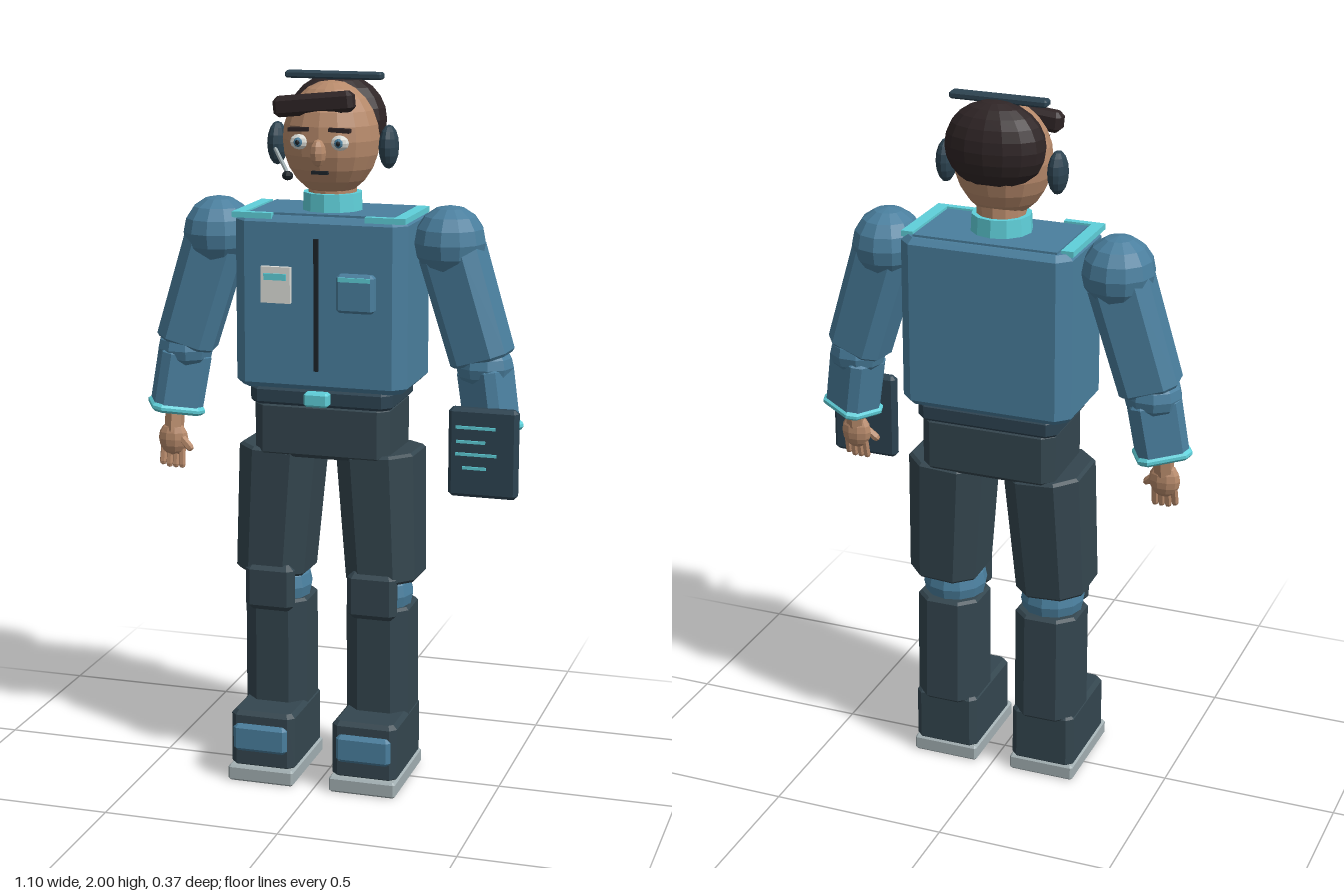
import * as THREE from 'three';

const mat = (name, color) => Object.assign(new THREE.MeshStandardMaterial({ color }), { name });
const V = (x, y, z) => new THREE.Vector3(x, y, z);

export function createModel() {
  const blue = mat('shirt blue', 0x4a7f9e), slate = mat('trouser slate', 0x34464f);
  const navy = mat('headset navy', 0x2d4452), cyan = mat('trim cyan', 0x5fd0da);
  const skin = mat('skin', 0xb78a6b), hairM = mat('hair', 0x2f2526);
  const grey = mat('sole grey', 0xa3b0b3), white = mat('white', 0xdedfda);
  const dark = mat('dark', 0x1c2329);

  const root = new THREE.Group();
  root.name = 'uniformedFigure';
  const body = new THREE.Group();
  body.name = 'body';
  body.position.x = -0.006;
  root.add(body);

  // Faceted mesh: every face gets its own normal
  function add(name, geo, m, pos) {
    const g = geo.index ? geo.toNonIndexed() : geo;
    g.computeVertexNormals();
    const mesh = new THREE.Mesh(g, m);
    mesh.name = name;
    if (pos) mesh.position.copy(pos);
    body.add(mesh);
    return mesh;
  }
  // Upright prism with corners cut by c, ends bevelled by b and a narrower lower end
  function bevelBox(w, h, d, c, b, taper = 1) {
    const x = w / 2, z = d / 2;
    const outline = [[x, c - z], [x, z - c], [x - c, z], [c - x, z], [-x, z - c], [-x, c - z], [c - x, -z], [x - c, -z]];
    const g = new THREE.ExtrudeGeometry(new THREE.Shape(outline.map(([u, v]) => new THREE.Vector2(u, v))), {
      depth: h - 2 * b, bevelThickness: b, bevelSize: b, bevelOffset: -b, bevelSegments: 1,
    });
    g.rotateX(-Math.PI / 2).translate(0, b - h / 2, 0);
    const p = g.attributes.position;
    for (let i = 0; i < p.count; i++) {
      const k = 1 + (taper - 1) * (0.5 - p.getY(i) / h);
      p.setXYZ(i, p.getX(i) * k, p.getY(i), p.getZ(i) * k);
    }
    return g;
  }
  const block = (name, m, x, y, z, w, h, d, c = 0.01, b = c) => add(name, bevelBox(w, h, d, c, b), m, V(x, y, z));
  const plate = (name, m, x, y, z, w, h, d) => add(name, new THREE.BoxGeometry(w, h, d), m, V(x, y, z));
  const ball = (name, m, x, y, z, rx, ry = rx, rz = rx, a = 12, b = 8) =>
    add(name, new THREE.SphereGeometry(1, a, b).scale(rx, ry, rz), m, V(x, y, z));
  // Turn a mesh so that its top points at a and its bottom at b
  function along(mesh, a, b, twist = 0) {
    mesh.position.copy(a).lerp(b, 0.5);
    mesh.quaternion.setFromUnitVectors(V(0, 1, 0), a.clone().sub(b).normalize());
    mesh.rotateY(twist);
    return mesh;
  }
  const limb = (name, m, a, b, w, d, c, taper, twist = 0) =>
    along(add(name, bevelBox(w, a.distanceTo(b), d, c, 0.008, taper), m), a, b, twist);
  const rod = (name, m, a, b, r) =>
    along(add(name, new THREE.CylinderGeometry(r, r, a.distanceTo(b), 6), m), a, b);

  // Torso and its details
  block('torso', blue, 0, 1.38, -0.041, 0.49, 0.48, 0.294, 0.035, 0.016);
  plate('yoke', blue, 0, 1.62, -0.045, 0.41, 0.012, 0.24);
  plate('zipper', dark, 0, 1.383, 0.121, 0.012, 0.365, 0.008);
  plate('badge', white, -0.114, 1.435, 0.121, 0.084, 0.1, 0.014);
  plate('badgeStripe', cyan, -0.114, 1.458, 0.13, 0.064, 0.018, 0.006);
  block('pocket', blue, 0.114, 1.422, 0.124, 0.106, 0.105, 0.036, 0.008);
  plate('pocketFlap', cyan, 0.114, 1.462, 0.143, 0.09, 0.012, 0.006);
  add('collar', new THREE.CylinderGeometry(0.082, 0.086, 0.08, 12), cyan, V(0, 1.635, -0.037));
  add('neck', new THREE.CylinderGeometry(0.068, 0.068, 0.1, 12), skin, V(0, 1.68, -0.037));

  // Belt and hips
  block('belt', navy, 0, 1.118, -0.037, 0.408, 0.05, 0.27, 0.025, 0.008);
  block('buckle', cyan, 0, 1.12, 0.112, 0.07, 0.04, 0.036, 0.006);
  block('hips', slate, 0, 1.022, -0.037, 0.39, 0.156, 0.258, 0.03, 0.012);

  // Head and face
  ball('head', skin, 0, 1.822, -0.025, 0.135, 0.157, 0.123, 16, 12);
  ball('hair', hairM, 0, 1.871, -0.083, 0.141, 0.122, 0.093, 16, 12);
  block('fringe', hairM, -0.025, 1.921, 0.055, 0.225, 0.056, 0.05, 0.012).rotation.z = 0.1;
  ball('nose', skin, 0, 1.795, 0.1, 0.023, 0.037, 0.026, 8, 6);
  plate('mouth', dark, 0, 1.74, 0.08, 0.045, 0.009, 0.02);

  // Headset
  block('headband', navy, 0, 1.99, -0.053, 0.275, 0.02, 0.037, 0.005);
  rod('micBoom', grey, V(-0.155, 1.79, -0.005), V(-0.082, 1.737, 0.11), 0.006);
  ball('microphone', dark, -0.082, 1.733, 0.112, 0.016, 0.013, 0.014, 8, 6);

  for (const s of [-1, 1]) {
    const P = (x, y, z) => V(s * x, y, z);

    // Eyes, brows and ear cups
    ball('eyeWhite', white, s * 0.057, 1.822, 0.087, 0.026, 0.021, 0.015, 10, 6);
    ball('iris', blue, s * 0.057, 1.822, 0.098, 0.013, 0.013, 0.008, 8, 6);
    ball('pupil', dark, s * 0.057, 1.822, 0.103, 0.007, 0.007, 0.005, 8, 6);
    plate('eyebrow', hairM, s * 0.057, 1.856, 0.087, 0.058, 0.011, 0.022).rotation.z = -s * 0.05;
    ball('earCup', navy, s * 0.159, 1.802, -0.037, 0.027, 0.06, 0.04, 12, 8);

    // Shoulder trim
    plate('shoulderTrim', cyan, s * 0.228, 1.62, -0.023, 0.034, 0.016, 0.255);
    plate('frontTrim', cyan, s * 0.188, 1.62, 0.095, 0.112, 0.016, 0.02);

    // Arm
    ball('shoulder', blue, s * 0.333, 1.55, -0.038, 0.1, 0.1, 0.105, 12, 8);
    const elbow = P(0.436, 1.212, -0.034), wrist = P(0.464, 1.034, -0.022);
    limb('upperArm', blue, P(0.338, 1.53, -0.038), P(0.432, 1.228, -0.034), 0.172, 0.15, 0.034, 0.96, -s * 0.12);
    ball('elbow', blue, elbow.x, elbow.y, elbow.z, 0.082, 0.068, 0.078, 10, 8);
    limb('forearm', blue, P(0.437, 1.205, -0.034), wrist, 0.142, 0.122, 0.022, 0.98, -s * 0.5);
    limb('cuff', cyan, P(0.461, 1.054, -0.023), P(0.4645, 1.03, -0.022), 0.152, 0.132, 0.022, 1, -s * 0.5);

    // Hand
    rod('wrist', skin, P(0.463, 1.035, -0.012), P(0.464, 0.97, -0.002), 0.028);
    ball('palm', skin, s * 0.465, 0.95, 0, 0.045, 0.05, 0.028, 10, 8);
    for (let i = 0; i < 4; i++) {
      const f = add('finger', new THREE.CapsuleGeometry(0.0105, 0.05, 2, 6), skin);
      along(f, P(0.439 + i * 0.018, 0.925, 0), P(0.437 + i * 0.019, 0.877 + (i === 3 ? 0.012 : 0), 0.008));
    }
    along(add('thumb', new THREE.CapsuleGeometry(0.012, 0.035, 2, 6), skin),
      P(0.437, 0.955, 0.008), P(0.41, 0.93, 0.015));

    // Leg
    limb('thigh', slate, P(0.142, 0.957, -0.037), P(0.163, 0.588, -0.024), 0.222, 0.25, 0.055, 0.9);
    ball('knee', blue, s * 0.15, 0.545, -0.022, 0.092, 0.085, 0.093, 12, 8);
    block('kneePad', slate, s * 0.15, 0.558, 0.077, 0.142, 0.136, 0.046, 0.016);
    limb('shin', slate, P(0.15, 0.515, -0.03), P(0.151, 0.19, -0.035), 0.182, 0.188, 0.043, 1.01);

    // Boot
    block('boot', slate, s * 0.15, 0.122, 0.026, 0.188, 0.17, 0.278, 0.018, 0.012);
    block('sole', grey, s * 0.15, 0.023, 0.033, 0.194, 0.046, 0.296, 0.006);
    block('toePatch', blue, s * 0.152, 0.132, 0.17, 0.158, 0.08, 0.026, 0.01);
  }

  // Clipboard in the left hand
  block('clipboard', navy, 0.457, 0.988, 0.052, 0.194, 0.25, 0.034, 0.01);
  for (const [x, y, w] of [[0.438, 1.06, 0.11], [0.425, 1.02, 0.08], [0.44, 0.985, 0.115], [0.435, 0.947, 0.066]])
    plate('clipboardLine', cyan, x, y, 0.071, w, 0.008, 0.006);

  return root;
}
